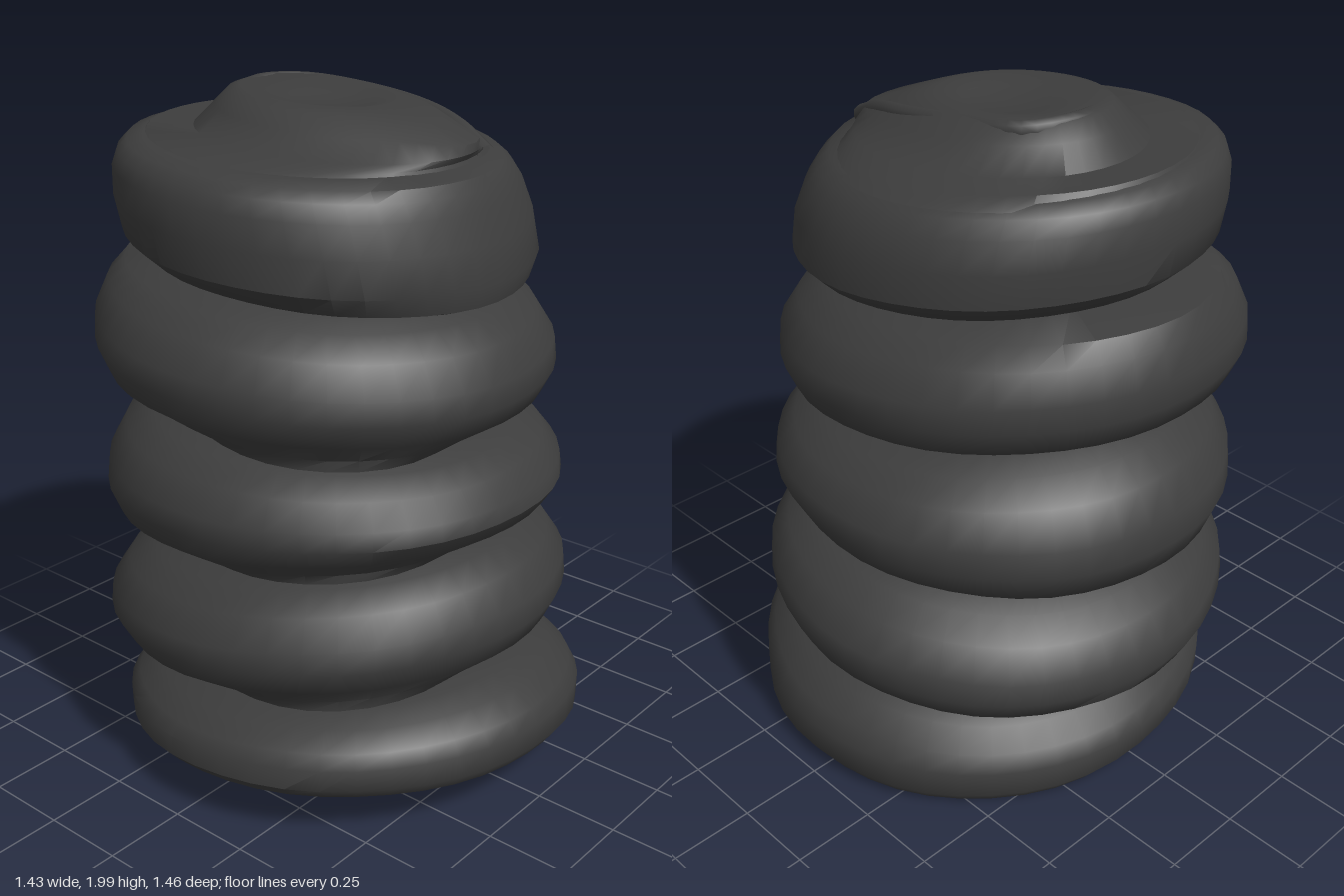
import * as THREE from 'three';
import { toCreasedNormals } from 'three/addons/utils/BufferGeometryUtils.js';

const SEG = 44;

// Skins a list of rings; point(ring, angle) gives [x, y, z] on that ring
function loft(rings, point) {
  const pos = [], idx = [];
  rings.forEach((ring) => {
    for (let j = 0; j < SEG; j++) pos.push(...point(ring, (j / SEG) * Math.PI * 2));
  });
  for (let i = 0; i < rings.length - 1; i++) {
    for (let j = 0; j < SEG; j++) {
      const a = i * SEG + j, b = i * SEG + ((j + 1) % SEG);
      idx.push(a, a + SEG, b, b, a + SEG, b + SEG);
    }
  }
  const geo = new THREE.BufferGeometry();
  geo.setAttribute('position', new THREE.Float32BufferAttribute(pos, 3));
  geo.setIndex(idx);
  return toCreasedNormals(geo, 0.7);
}

// How strongly angle a faces a given direction, 0 to 1
const facing = (a, dir, power) => Math.pow(Math.max(0, Math.cos(a - dir)), power);

// Tilted planes between the coils: height, slope along x, slope along z
const planes = [
  [0.073, -0.08, 0.075], [0.335, -0.02, 0.08], [0.725, 0, 0.1],
  [1.105, 0, -0.06], [1.51, 0, -0.08], [1.855, 0, -0.06],
];
const heightAt = ([y, sx, sz], x, z) => y + sx * x + sz * z;

// Coil cross-sections: fraction of height, fraction of radius
const baseProfile = [[-0.07, 0], [-0.05, 0.7], [0.03, 0.96], [0.17, 1], [0.45, 1], [0.62, 0.96],
  [0.8, 0.87], [0.92, 0.76], [1, 0.64], [1.02, 0.55]];
const midProfile = [[-0.02, 0.55], [0, 0.66], [0.08, 0.8], [0.22, 0.95], [0.4, 1], [0.57, 0.99],
  [0.78, 0.91], [0.91, 0.8], [1, 0.65], [1.02, 0.55]];
const topProfile = [[-0.02, 0.55], [0, 0.7], [0.06, 0.88], [0.22, 0.98], [0.5, 1], [0.75, 0.99],
  [0.88, 0.96], [0.96, 0.91], [1, 0.83], [0.99, 0.65]];

// Extents of each coil: right, left, back, front.
// lean pulls the front and left in towards the top;
// boxy is the side with a squarer section, from height fraction boxFrom up
const coils = [
  { ext: [-0.71, 0.71, -0.65, 0.73], profile: baseProfile, lean: 0 },
  { ext: [-0.71, 0.71, -0.72, 0.67], profile: midProfile, lean: 0 },
  { ext: [-0.69, 0.67, -0.72, 0.65], profile: midProfile, lean: 0 },
  { ext: [-0.69, 0.64, -0.73, 0.62], profile: midProfile, lean: 0, boxy: -Math.PI / 2, boxFrom: 0.3 },
  { ext: [-0.615, 0.6, -0.65, 0.58], profile: topProfile, lean: 0.1, boxy: Math.PI / 2, boxFrom: 0 },
];

function coilGeometry({ ext, profile, lean, boxy, boxFrom }, i) {
  const [x0, x1, z0, z1] = ext;
  return loft(profile, ([f, r], a) => {
    // Ledge where one turn of the spiral meets the next, at the front right
    if (i > 0 && i < 4 && f >= 0 && f < 0.2) r += Math.max(0, 0.88 - r) * facing(a, 2.4, 3);
    if (boxy !== undefined && f >= boxFrom && f < 0.98) r += (1 - r) * 0.55 * facing(a, boxy, 2);
    r *= 1 + 0.006 * Math.sin(5 * a + i * 2) * Math.sin(3 * a + f * 4);
    const front = z1 - lean * Math.max(0, f);
    const left = x1 - lean * f * f * 0.8;
    const x = (x0 + left) / 2 + ((left - x0) / 2) * r * Math.cos(a);
    const z = (z0 + front) / 2 + ((front - z0) / 2) * r * Math.sin(a);
    let low = heightAt(planes[i], x, z);
    // Drooping corner of the underside at the front left
    if (i === 0 && r > 0.8) low -= 0.045 * facing(a, 0.55, 6);
    const high = heightAt(planes[i + 1], x, z);
    return [x, low + (high - low) * f, z];
  });
}

// Top swirl rings: height, slope along z, centre x, centre z, radius x, radius z
const swirlRings = [
  [1.83, -0.055, -0.02, -0.09, 0.52, 0.5], [1.86, -0.055, -0.02, -0.09, 0.47, 0.48],
  [1.872, -0.04, 0, -0.03, 0.37, 0.43], [1.925, -0.06, -0.01, -0.04, 0.29, 0.36],
  [1.965, -0.06, -0.01, -0.08, 0.235, 0.28], [1.977, -0.06, -0.01, -0.09, 0.19, 0.24],
  [1.955, -0.02, 0, -0.05, 0.1, 0.13], [1.95, 0, 0, -0.04, 0, 0],
];

export function createModel() {
  const group = new THREE.Group();
  const charcoal = new THREE.MeshStandardMaterial({ color: 0x3d3d3d });
  charcoal.name = 'charcoal';
  const add = (name, geo) => {
    const mesh = new THREE.Mesh(geo, charcoal);
    mesh.name = name;
    group.add(mesh);
  };

  // Stacked coils
  coils.forEach((coil, i) => add(`coil${i + 1}`, coilGeometry(coil, i)));

  // Raised swirl closing the top, with a tail running to the front
  add('topSwirl', loft(swirlRings, ([y, sz, cx, cz, rx, rz], a) => {
    const tail = y > 1.9 && rx > 0.2 ? 0.08 * facing(a, 1.25, 6) : 0;
    const z = cz + (rz + tail) * Math.sin(a);
    return [cx + (rx + tail) * Math.cos(a), y + sz * z - tail * 0.3, z];
  }));

  // Curled lip along the edge of the swirl
  const lip = new THREE.CatmullRomCurve3([
    [-0.1, 1.965, -0.31], [0.02, 1.972, -0.33], [0.15, 1.965, -0.27], [0.2, 1.95, -0.1],
    [0.21, 1.925, 0.1], [0.18, 1.895, 0.25], [0.14, 1.84, 0.38],
  ].map((p) => new THREE.Vector3(...p)));
  add('swirlLip', new THREE.TubeGeometry(lip, 28, 0.028, 8));

  return group;
}
